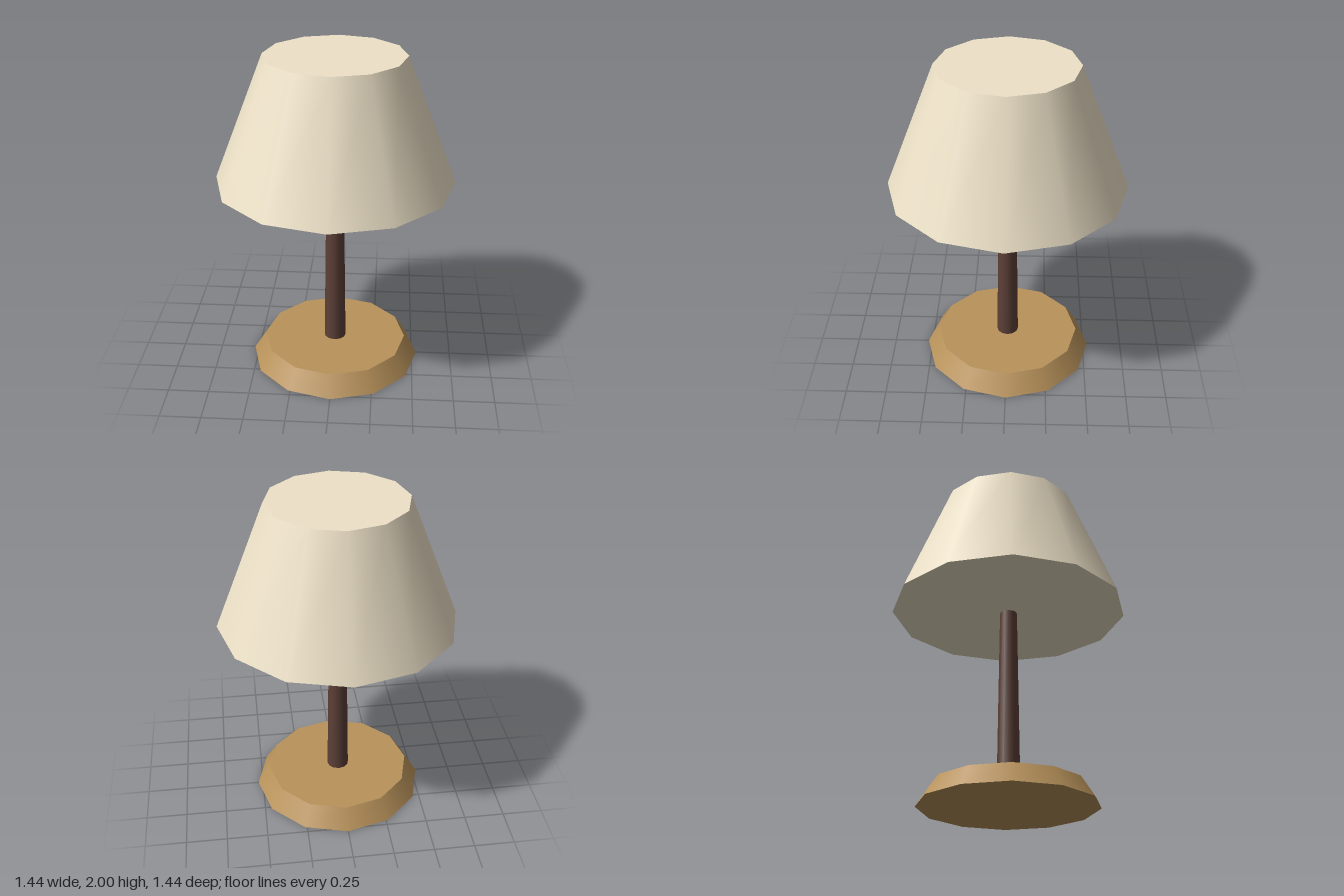
import * as THREE from 'three';

const SIDES = 12;

// Tapered, capped round part standing between two heights
function taperedPart(name, color, topRadius, bottomRadius, y0, y1) {
  const mesh = new THREE.Mesh(
    new THREE.CylinderGeometry(topRadius, bottomRadius, y1 - y0, SIDES),
    new THREE.MeshStandardMaterial({ color })
  );
  mesh.name = name;
  mesh.position.y = (y0 + y1) / 2;
  return mesh;
}

export function createModel() {
  const lamp = new THREE.Group();
  lamp.name = 'tableLamp';
  lamp.add(
    // Bevelled wooden foot
    taperedPart('base', 0xb8925a, 0.45, 0.53, 0, 0.125),
    // Slim stem, running a little way into the shade
    taperedPart('stem', 0x5d4037, 0.052, 0.068, 0.125, 1.27),
    // Closed conical shade
    taperedPart('shade', 0xeee2c8, 0.417, 0.72, 1.23, 2)
  );
  return lamp;
}
